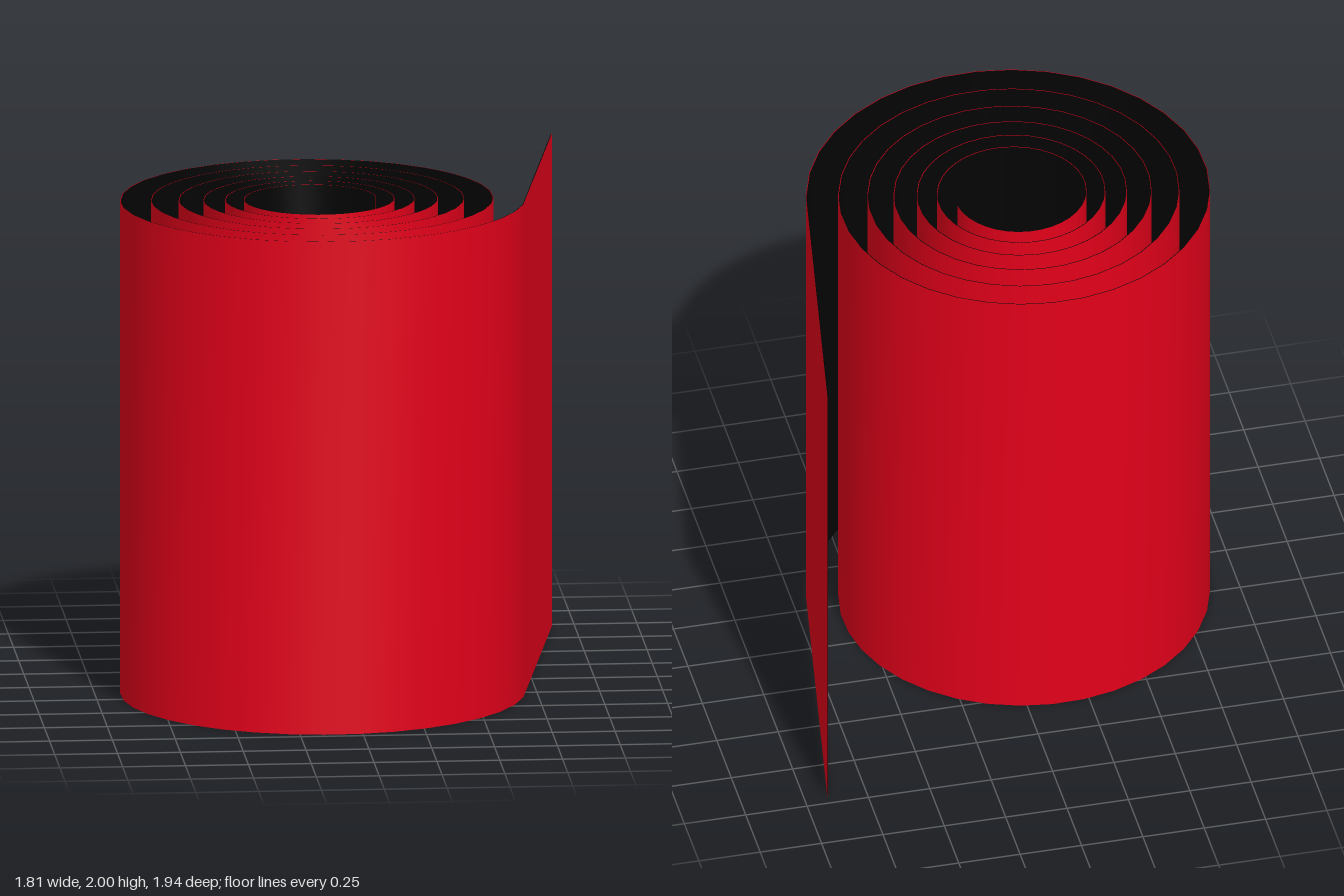
import * as THREE from 'three';

const HEIGHT = 2;
const CENTRE = { x: -0.127, z: 0.167 };
const START = THREE.MathUtils.degToRad(12);
const SEGMENTS_PER_TURN = 36;
const TURNS = 5.95;
const THICKNESS = 0.003;

// Plan of the sheet: straight free end, then a spiral winding inward
function sheetPlan() {
  const points = [new THREE.Vector2(0.91, -0.97)];
  const count = Math.round(TURNS * SEGMENTS_PER_TURN);
  for (let i = 0; i <= count; i++) {
    const angle = START + (i / SEGMENTS_PER_TURN) * Math.PI * 2;
    const t = angle / (Math.PI * 2) - 0.11;
    const r = 0.824 - 0.133 * t + 0.006 * t * t;
    points.push(new THREE.Vector2(CENTRE.x + r * Math.cos(angle), CENTRE.z + r * Math.sin(angle)));
  }
  return points;
}

// Plan moved sideways towards the inside of the roll
function offsetPlan(plan, distance) {
  return plan.map((p, i) => {
    const before = plan[Math.max(i - 1, 0)];
    const after = plan[Math.min(i + 1, plan.length - 1)];
    const along = after.clone().sub(before).normalize();
    return new THREE.Vector2(p.x - along.y * distance, p.y + along.x * distance);
  });
}

// Upright ribbon along the plan, facing outward or inward
function ribbon(plan, inward) {
  const position = [];
  const index = [];
  plan.forEach((p, i) => {
    position.push(p.x, 0, p.y, p.x, HEIGHT, p.y);
    if (i === plan.length - 1) return;
    const a = i * 2, b = a + 1, c = a + 2, d = a + 3;
    if (inward) index.push(a, c, b, b, c, d);
    else index.push(a, b, c, b, d, c);
  });
  const geometry = new THREE.BufferGeometry();
  geometry.setAttribute('position', new THREE.Float32BufferAttribute(position, 3));
  geometry.setIndex(index);
  geometry.computeVertexNormals();
  return geometry;
}

export function createModel() {
  const model = new THREE.Group();
  model.name = 'rolledSheet';
  const plan = sheetPlan();

  const addFace = (name, geometry, color) => {
    const material = new THREE.MeshStandardMaterial({ color, side: THREE.DoubleSide });
    const mesh = new THREE.Mesh(geometry, material);
    mesh.name = name;
    model.add(mesh);
  };

  // Red outer face and black backing of the same thin sheet
  addFace('outerFace', ribbon(plan, false), 0xe3001a);
  addFace('backing', ribbon(offsetPlan(plan, THICKNESS), true), 0x040404);
  return model;
}
